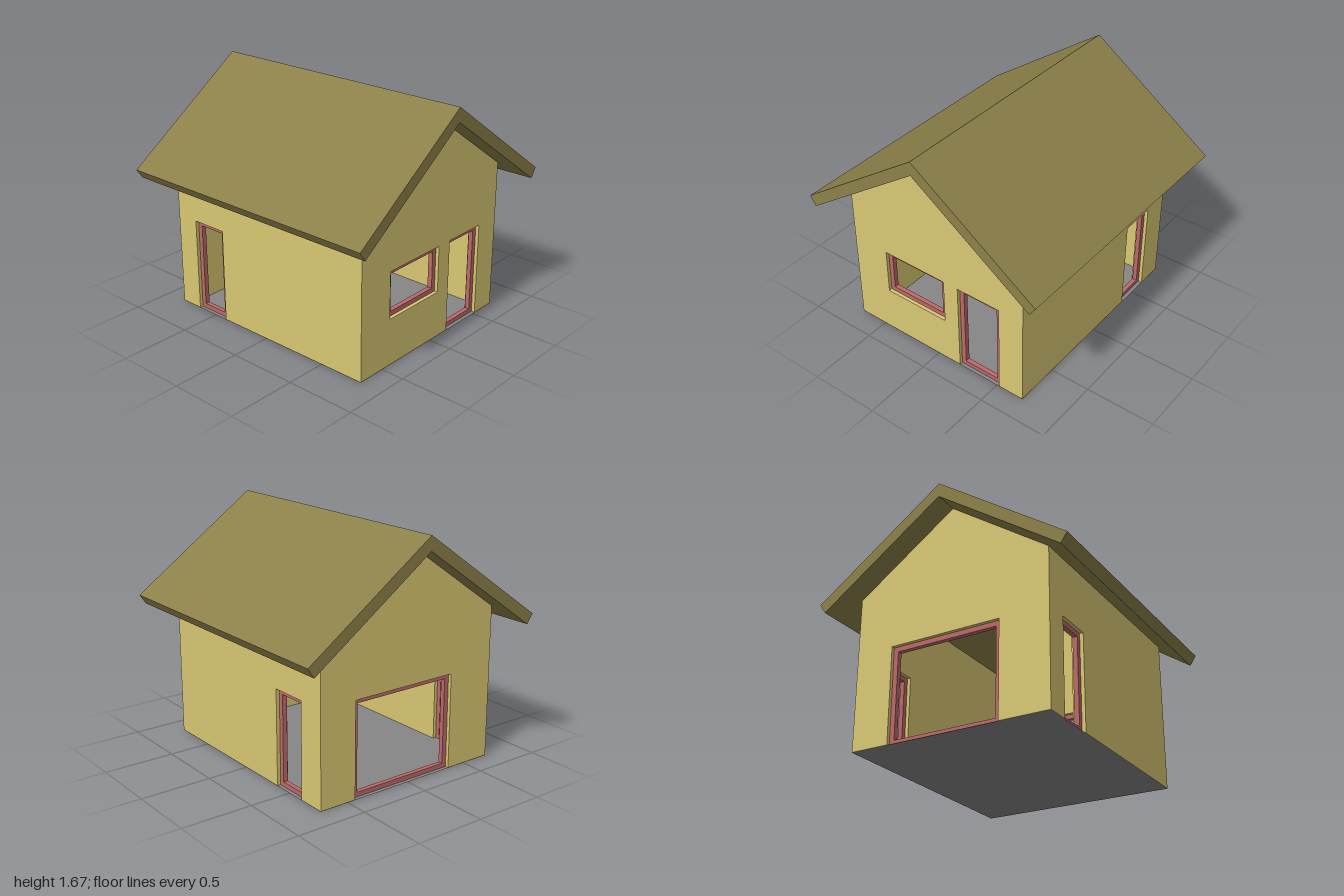
import * as THREE from 'three';

const HALF_W = 0.71, HALF_D = 0.833; // outer half width (x) and half depth (z)
const WALL = 0.083, PITCH = 0.7, APEX = 1.57; // APEX is the roof underside at the ridge
const EAVE = APEX - PITCH * HALF_W;
const BASE = 0.002; // walls start just above the floor sheet
const FRAME_W = 0.034, FRAME_D = 0.033;

const material = (color, side = THREE.FrontSide) =>
  new THREE.MeshStandardMaterial({ color, side });
const wallMat = material(0xd9c873);
const roofMat = material(0x8c8049);
const frameMat = material(0xbb6969);
const floorMat = material(0x868686, THREE.DoubleSide);

const points = (list) => list.map(([x, y]) => new THREE.Vector2(x, y));
const rect = ([u0, u1, v0, v1]) => points([[u0, v0], [u1, v0], [u1, v1], [u0, v1]]);

function extrude(shape, depth) {
  return new THREE.ExtrudeGeometry(shape, { depth, bevelEnabled: false });
}

function addMesh(parent, name, geometry, mat) {
  const mesh = new THREE.Mesh(geometry, mat);
  mesh.name = name;
  parent.add(mesh);
  return mesh;
}

// Wall whose outer face lies on local z = 0, with a frame recessed in each opening.
// Openings are [u0, u1, v0, v1]; those reaching the floor are notches in the outline.
function makeWall(name, half, gable, openings) {
  const group = new THREE.Group();
  group.name = name;
  const outline = [[-half, BASE]];
  for (const [u0, u1, v0, v1] of openings) {
    if (v0 === 0) outline.push([u0, BASE], [u0, v1], [u1, v1], [u1, BASE]);
  }
  outline.push([half, BASE], [half, EAVE]);
  if (gable) outline.push([0, APEX]);
  outline.push([-half, EAVE]);

  const shape = new THREE.Shape(points(outline));
  for (const o of openings) {
    if (o[2] > 0) shape.holes.push(new THREE.Path(rect(o)));
  }
  const geometry = extrude(shape, WALL).translate(0, 0, -WALL);

  // Side walls: raise the inner top edge to meet the sloping roof
  if (!gable) {
    const p = geometry.attributes.position;
    for (let i = 0; i < p.count; i++) {
      if (p.getY(i) > EAVE - 0.001 && p.getZ(i) < -WALL / 2) p.setY(i, EAVE + PITCH * WALL);
    }
    geometry.computeVertexNormals();
  }
  addMesh(group, name + 'Panel', geometry, wallMat);

  for (const o of openings) {
    const [u0, u1, v0, v1] = o;
    const bottom = Math.max(v0, BASE);
    const frame = new THREE.Shape(rect([u0, u1, bottom, v1]));
    frame.holes.push(new THREE.Path(
      rect([u0 + FRAME_W, u1 - FRAME_W, v0 + FRAME_W, v1 - FRAME_W])));
    addMesh(group, v0 > 0 ? 'windowFrame' : 'doorFrame', extrude(frame, FRAME_D), frameMat)
      .position.z = -(WALL + FRAME_D) / 2;
  }
  return group;
}

export function createModel() {
  const house = new THREE.Group();
  house.name = 'house';

  // Floor sheet
  addMesh(house, 'floor', new THREE.PlaneGeometry(2 * HALF_W, 2 * HALF_D), floorMat)
    .rotation.x = -Math.PI / 2;

  // Gable walls
  const front = makeWall('frontWall', HALF_W, true,
    [[-0.432, 0.068, 0.335, 0.67], [0.185, 0.52, 0, 0.67]]);
  front.position.z = HALF_D;
  const back = makeWall('backWall', HALF_W, true, [[-0.44, 0.36, 0, 0.67]]);
  back.position.z = -HALF_D;
  back.rotation.y = Math.PI;

  // Side walls, fitted between the gables
  const sideHalf = HALF_D - WALL;
  const left = makeWall('leftWall', sideHalf, false, [[0.367, 0.633, 0, 0.67]]);
  left.position.x = HALF_W;
  left.rotation.y = Math.PI / 2;
  const right = makeWall('rightWall', sideHalf, false, [[-0.663, -0.397, 0, 0.67]]);
  right.position.x = -HALF_W;
  right.rotation.y = -Math.PI / 2;
  house.add(front, back, left, right);

  // Roof: one slab per slope, mirrored at the ridge
  for (const s of [-1, 1]) {
    const slope = new THREE.Shape(points(
      [[0, APEX], [s * 0.88, APEX - PITCH * 0.88], [s * 0.925, 1.021], [0, 1.669]]));
    addMesh(house, s > 0 ? 'leftRoofSlope' : 'rightRoofSlope',
      extrude(slope, 2).translate(0, 0, -1), roofMat);
  }
  return house;
}
